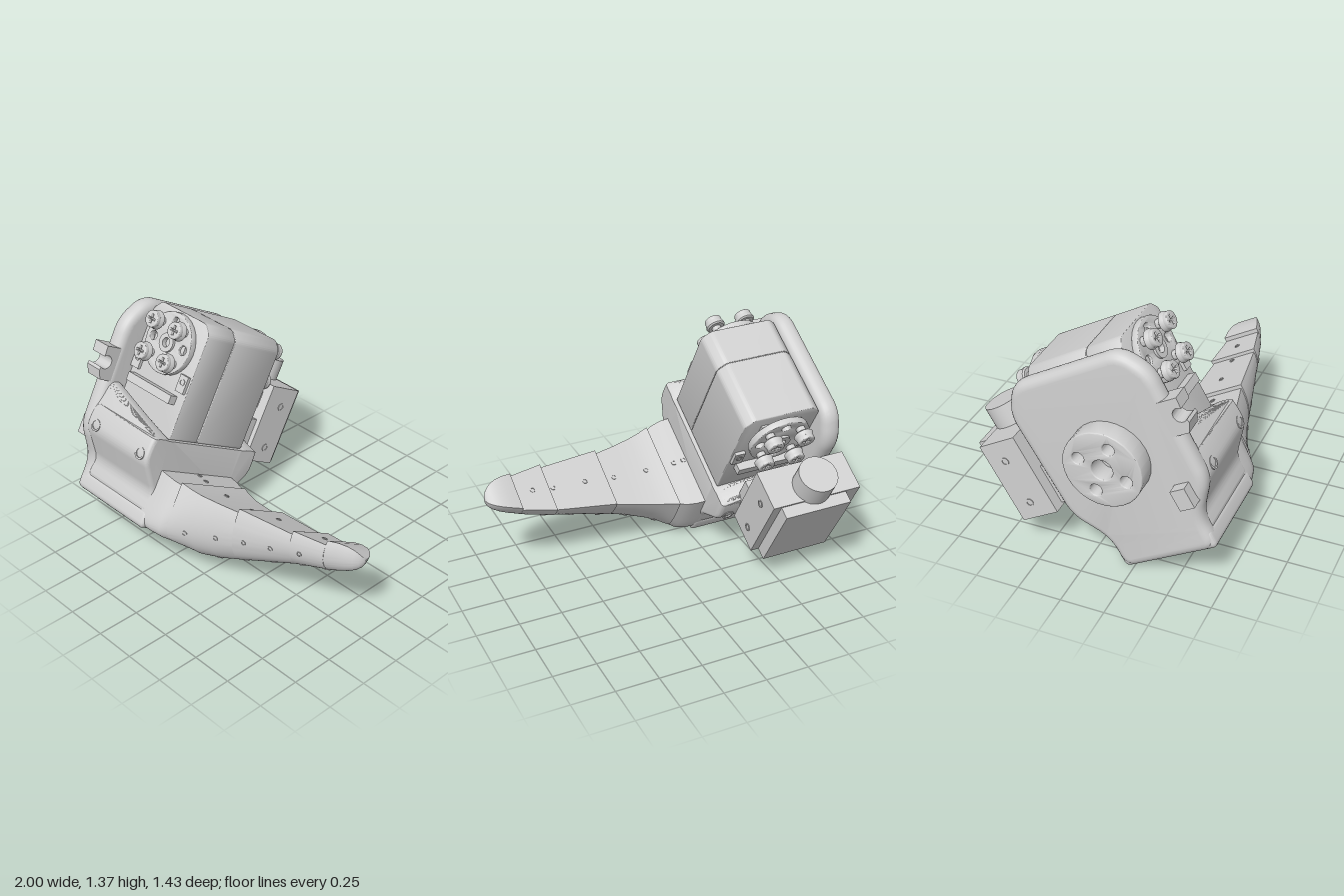
import * as THREE from 'three';
import { toCreasedNormals } from 'three/addons/utils/BufferGeometryUtils.js';

const grey = new THREE.MeshStandardMaterial({ color: 0xd0d0d0 });
grey.name = 'light grey';
const MID = 0.48; // symmetry plane of the tilted assembly, along local z

function add(parent, name, geo) {
  const m = new THREE.Mesh(geo, grey);
  m.name = name;
  parent.add(m);
  return m;
}

function box(parent, name, x0, x1, y0, y1, z0, z1) {
  const m = add(parent, name, new THREE.BoxGeometry(x1 - x0, y1 - y0, z1 - z0));
  m.position.set((x0 + x1) / 2, (y0 + y1) / 2, (z0 + z1) / 2);
}

// Polygon with rounded corners
function rounded(pts, r) {
  const s = new THREE.Shape();
  const v = pts.map((p) => new THREE.Vector2(...p));
  v.forEach((p, i) => {
    const toward = (q) => q.clone().sub(p).setLength(Math.min(r, q.distanceTo(p) * 0.45)).add(p);
    const a = toward(v[(i + v.length - 1) % v.length]), b = toward(v[(i + 1) % v.length]);
    if (i) s.lineTo(a.x, a.y); else s.moveTo(a.x, a.y);
    s.quadraticCurveTo(p.x, p.y, b.x, b.y);
  });
  s.closePath();
  return s;
}

const circle = (x, y, r) => new THREE.Shape().absarc(x, y, r, 0, Math.PI * 2);

function hole(shape, x, y, r) {
  shape.holes.push(new THREE.Path().absarc(x, y, r, 0, Math.PI * 2, true));
}

function extrude(shape, depth, bevel = 0) {
  const g = new THREE.ExtrudeGeometry(shape, {
    depth: depth - 2 * bevel, bevelEnabled: bevel > 0, bevelSize: bevel, bevelThickness: bevel,
    bevelOffset: -bevel, bevelSegments: 5, curveSegments: 14,
  });
  g.translate(0, 0, bevel);
  return toCreasedNormals(g, 0.5);
}

// Side profile (z, y) extruded along x from x0 to x1
function extrudeX(shape, x0, x1, bevel) {
  return extrude(shape, x1 - x0, bevel).rotateY(-Math.PI / 2).translate(x1, 0, 0);
}

// Stations of the wing: x, top height, half width, depth, squareness
const stations = [
  [-0.32, 0.26, 0.3, 0.365, 10], [-0.23, 0.25, 0.298, 0.355, 9], [-0.17, 0.24, 0.285, 0.35, 7],
  [-0.13, 0.235, 0.266, 0.35, 4.5], [-0.13, 0.25, 0.275, 0.365, 4.5], [-0.07, 0.24, 0.255, 0.36, 3],
  [0, 0.235, 0.235, 0.355, 2.3], [0.12, 0.24, 0.205, 0.322, 2],
  [0.245, 0.25, 0.178, 0.28, 2], [0.245, 0.272, 0.188, 0.302, 2], [0.61, 0.297, 0.145, 0.17, 2],
  [0.61, 0.317, 0.155, 0.19, 2], [0.81, 0.335, 0.115, 0.14, 2], [0.81, 0.36, 0.118, 0.165, 2],
  [0.87, 0.376, 0.106, 0.157, 2], [0.92, 0.381, 0.09, 0.138, 2], [0.96, 0.376, 0.067, 0.108, 2],
  [0.985, 0.364, 0.042, 0.07, 2], [0.996, 0.354, 0.02, 0.034, 2], [1, 0.345, 0.002, 0.004, 2],
];

function wingPoint([x, top, h, d, n], t) {
  const c = Math.cos(t), s = Math.max(0, Math.sin(t));
  return new THREE.Vector3(x, top - d * s ** (2 / n), MID + h * Math.sign(c) * Math.abs(c) ** (2 / n));
}

function stationAt(x) {
  const i = stations.findIndex((s, k) => k && s[0] > x), a = stations[i - 1], b = stations[i];
  return a.map((v, k) => v + (b[k] - v) * (x - a[0]) / (b[0] - a[0]));
}

function wingGeometry() {
  const N = 48, pos = [], idx = [];
  for (const s of stations) for (let j = 0; j <= N; j++) pos.push(...wingPoint(s, Math.PI * j / N).toArray());
  for (let i = 0; i < stations.length - 1; i++) for (let j = 0; j <= N; j++) {
    const k = (j + 1) % (N + 1), r = i * (N + 1), q = r + N + 1;
    idx.push(r + j, r + k, q + j, r + k, q + k, q + j);
  }
  const g = new THREE.BufferGeometry();
  g.setAttribute('position', new THREE.Float32BufferAttribute(pos, 3));
  g.setIndex(idx);
  return toCreasedNormals(g, 0.8);
}

// Small round rim at point p, facing along normal n
function rim(parent, name, p, n, r = 0.015) {
  const s = circle(0, 0, r);
  hole(s, 0, 0, r * 0.7);
  const m = add(parent, name, extrude(s, 0.008).translate(0, 0, -0.004));
  m.position.copy(p);
  m.quaternion.setFromUnitVectors(new THREE.Vector3(0, 0, 1), n.clone().normalize());
}

// Cross-head screw along +z
function screw() {
  const g = new THREE.Group();
  g.name = 'hornScrew';
  const pts = [[0.026, 0], [0.026, 0.075], [0.046, 0.075], [0.055, 0.082], [0.055, 0.09], [0.049, 0.108], [0, 0.108]];
  add(g, 'screwBody', toCreasedNormals(
    new THREE.LatheGeometry(pts.map((p) => new THREE.Vector2(...p)), 24).rotateX(Math.PI / 2), 0.6));
  const cap = circle(0, 0, 0.049);
  const a = 0.005, b = 0.026;
  cap.holes.push(new THREE.Path([[a, a], [a, b], [-a, b], [-a, a], [-b, a], [-b, -a], [-a, -a], [-a, -b], [a, -b],
    [a, -a], [b, -a], [b, a]].map((p) => new THREE.Vector2(...p))));
  add(g, 'crossHead', extrude(cap, 0.03, 0.006)).position.z = 0.102;
  return g;
}

// Round horn with four screws, facing +z
function horn(name) {
  const g = new THREE.Group();
  g.name = name;
  const s = circle(0, 0, 0.18);
  hole(s, 0, 0, 0.03);
  for (let i = 0; i < 4; i++) hole(s, 0.125 * Math.cos(i * Math.PI / 2), 0.125 * Math.sin(i * Math.PI / 2), 0.027);
  add(g, 'hornDisc', extrude(s, 0.04, 0.005));
  const boss = circle(0, 0, 0.055);
  hole(boss, 0, 0, 0.027);
  add(g, 'hornBoss', extrude(boss, 0.055));
  for (const x of [-0.095, 0.095]) for (const y of [-0.095, 0.095]) {
    const sc = screw();
    sc.position.set(x, y, 0);
    g.add(sc);
  }
  return g;
}

// Cradle housing whose front and back covers slope down towards +x
function housingGeometry() {
  const half = [[0.78, -0.03], [0.78, 0.11], [0.93, 0.29], [0.93, 0.39], [0.9, 0.585], [0.81, 0.585], [0.79, 0.45]];
  const mirrored = half.map(([z, y]) => [2 * MID - z, y]).reverse();
  const g = extrudeX(rounded([...half, ...mirrored], 0.05), -0.82, -0.28, 0.025);
  const p = g.attributes.position;
  for (let i = 0; i < p.count; i++) {
    const f = THREE.MathUtils.clamp((-0.27 - p.getX(i)) / 0.5, 0.04, 1.05);
    if (p.getY(i) > 0.43) p.setY(i, 0.43 + (p.getY(i) - 0.43) * f);
  }
  return toCreasedNormals(g, 0.5);
}

export function createModel() {
  const model = new THREE.Group();
  model.name = 'jointAssembly';
  const t = new THREE.Group();
  t.name = 'tiltedAssembly';
  t.rotation.x = -Math.PI / 6;
  model.add(t);

  // Side plate with soft edges
  const plate = [[0.18, -0.105], [0.78, -0.105], [0.78, 0.09], [0.93, 0.28], [0.945, 0.94], [0.83, 1.095],
    [0.13, 1.095], [0.015, 0.94], [0.03, 0.28], [0.18, 0.09]];
  add(t, 'sidePlate', extrudeX(rounded(plate, 0.08), -0.885, -0.77, 0.05));

  add(t, 'housing', housingGeometry());

  // Floor with a round opening
  const floor = rounded([[-0.87, -0.78], [-0.27, -0.78], [-0.27, -0.18], [-0.87, -0.18]], 0.03);
  hole(floor, -0.545, -0.45, 0.065);
  add(t, 'floorPlate', extrude(floor, 0.12, 0.035).rotateX(-Math.PI / 2).translate(0, -0.107, 0));

  // Screw seats in the front and back covers
  for (const side of [1, -1]) for (const [x, y] of [[-0.74, 0.32], [-0.345, 0.32]])
    rim(t, 'coverHole', new THREE.Vector3(x, y, MID + side * 0.449), new THREE.Vector3(0, 0, side), 0.036);

  // Motor in two sections with chamfered corners
  const outline = (i) => rounded([[-0.77 + i, 0.43], [-0.3 - i, 0.43], [-0.3 - i, 1.06 - i], [-0.35, 1.11 - i],
    [-0.72, 1.11 - i], [-0.77 + i, 1.06 - i]], 0.02);
  for (const [name, a, b, bev] of [['motorFront', 0.5655, 0.79, 0.004], ['motorBack', 0.17, 0.5625, 0.006]])
    add(t, name, extrude(outline(0), b - a, bev)).position.z = a;
  add(t, 'motorCore', extrude(outline(0.006), 0.5)).position.z = 0.22;

  // Horns, lugs and connectors on both motor ends
  for (const side of [1, -1]) {
    const h = horn(side > 0 ? 'frontHorn' : 'backHorn');
    h.position.set(-0.535, side > 0 ? 0.922 : 0.93, side > 0 ? 0.79 : 0.15);
    if (side < 0) h.rotation.y = Math.PI;
    t.add(h);
    const z = side > 0 ? 0.795 : 0.165;
    box(t, 'motorCap', -0.66, -0.41, 0.8, 1.04, z - 0.02, z + 0.02);
    box(t, 'motorConnector', -0.73, -0.36, 0.62, 0.67, z - 0.045, z + 0.045);
    for (const x of [-0.735, -0.345]) {
      box(t, 'motorLug', x - 0.032, x + 0.032, 0.7, 0.8, z - 0.015, z + 0.015);
      rim(t, 'lugHole', new THREE.Vector3(x, 0.76, z + side * 0.015), new THREE.Vector3(0, 0, side), 0.02);
    }
  }

  // Round coupling on the outer side
  const ring = circle(MID, 0.555, 0.225);
  hole(ring, MID, 0.555, 0.06);
  for (let i = 0; i < 4; i++) {
    const a = Math.PI / 4 + i * Math.PI / 2;
    hole(ring, MID + 0.14 * Math.cos(a), 0.555 + 0.14 * Math.sin(a), 0.034);
  }
  add(t, 'sideCoupling', extrudeX(ring, -1, -0.87, 0.008));

  // Notched clip on the front edge of the plate and small stop on its outer face
  const clip = new THREE.Shape([[0.88, 0.58], [0.99, 0.58], [1.02, 0.635]].map((p) => new THREE.Vector2(...p)));
  clip.absarc(0.99, 0.685, 0.04, -0.9, 0.9, true);
  clip.lineTo(1.02, 0.78);
  clip.lineTo(0.88, 0.78);
  add(t, 'cableClip', extrudeX(clip, -0.885, -0.775));
  box(t, 'plateStop', -0.95, -0.86, 0.2, 0.32, 0.75, 0.84);

  // Rear sensor box with round barrel
  box(t, 'rearMount', -0.85, -0.4, 0.36, 0.6, -0.01, 0.08);
  box(t, 'sensorFlange', -0.92, -0.37, 0.345, 0.83, -0.235, 0.005);
  box(t, 'sensorBack', -0.83, -0.42, 0.345, 0.82, -0.305, -0.23);
  const barrel = add(t, 'sensorBarrel', new THREE.CylinderGeometry(0.113, 0.113, 0.16, 40));
  barrel.position.set(-0.645, 0.875, -0.155);
  for (const [x, s] of [[-0.37, 1], [-0.92, -1]]) for (const y of [0.44, 0.71])
    rim(t, 'flangeHole', new THREE.Vector3(x, y, -0.13), new THREE.Vector3(s, 0, 0), 0.023);

  // Stepped wing with rows of pin holes
  add(t, 'wing', wingGeometry());
  const sidePins = [-0.04, 0.14, 0.32, 0.49, 0.67];
  const rows = [[sidePins, 0.68], [sidePins, Math.PI - 0.68],
    [[-0.26, -0.08, 0.1, 0.28, 0.46, 0.64, 0.8], Math.PI / 2]];
  for (const [xs, a] of rows) for (const x of xs) {
    const p = wingPoint(stationAt(x), a);
    const around = wingPoint(stationAt(x), a + 0.02).sub(p);
    const along = wingPoint(stationAt(x + 0.005), a).sub(p);
    rim(t, 'pinHole', p, around.cross(along));
  }
  for (const x of [-0.26, -0.2, -0.02, 0.19, 0.38, 0.58, 0.71])
    rim(t, 'topPinHole', new THREE.Vector3(x, stationAt(x)[1], MID), new THREE.Vector3(0, 1, 0));

  return model;
}
